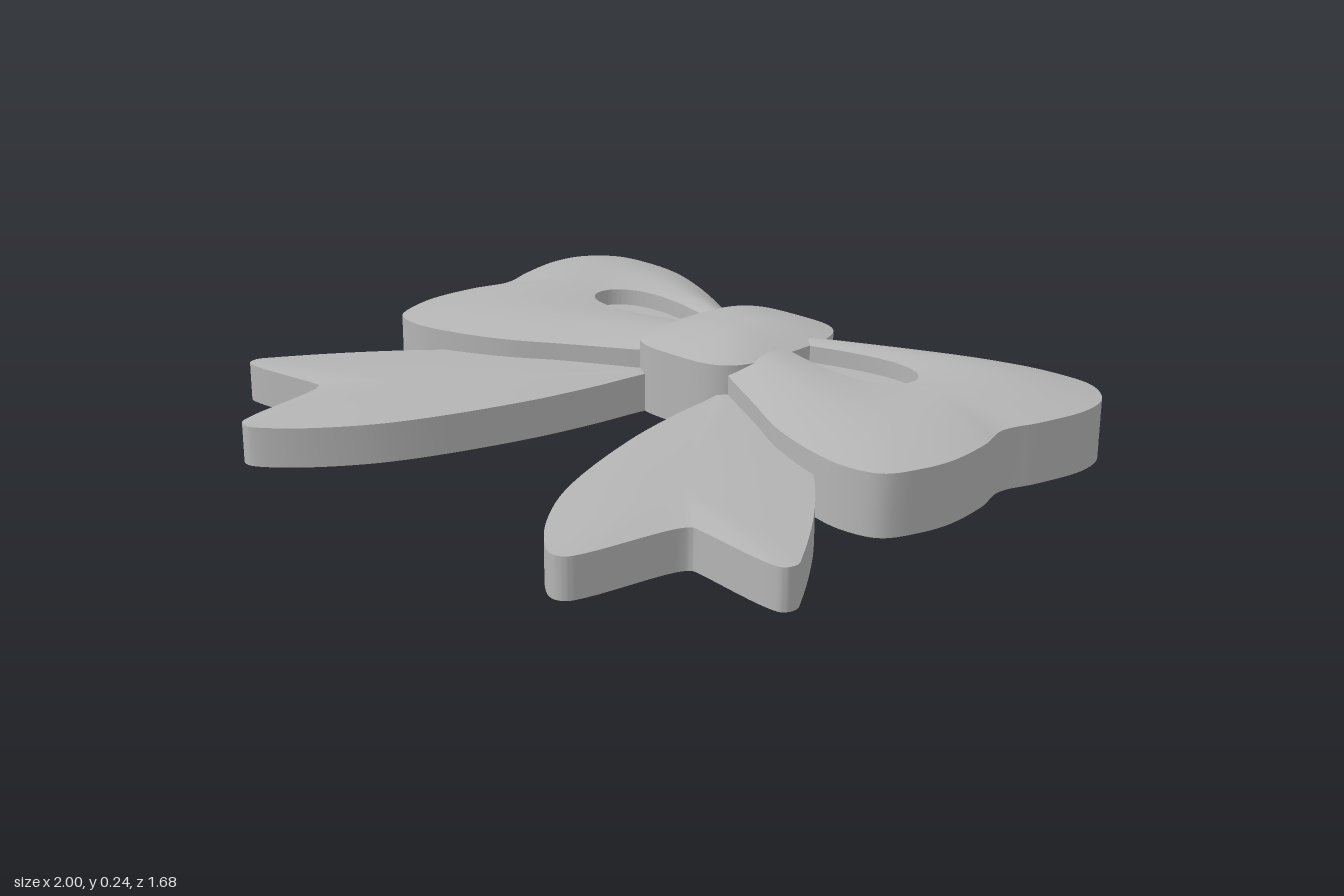
import * as THREE from 'three';
import { mergeGeometries, toCreasedNormals } from 'three/addons/utils/BufferGeometryUtils.js';

// Smooth closed outline through [x, z] pairs
const outline = (pts, n) => new THREE.CatmullRomCurve3(
  pts.map(([x, z]) => new THREE.Vector3(x, 0, z)), true, 'centripetal').getPoints(n).slice(0, n);

const atHeight = (ring, y) => ring.map(p => new THREE.Vector3(p.x, y, p.z));

const circle = (x, z, r, n = 28) => Array.from({ length: n }, (_, i) => {
  const a = (i / n) * Math.PI * 2;
  return new THREE.Vector3(x + r * Math.cos(a), 0, z + r * Math.sin(a));
});

// Skin through closed rings with equal point counts
function loft(rings) {
  const n = rings[0].length, pos = [], index = [];
  rings.forEach(r => r.forEach(p => pos.push(p.x, p.y, p.z)));
  for (let k = 0; k < rings.length - 1; k++) {
    for (let i = 0; i < n; i++) {
      const j = (i + 1) % n, a = k * n, b = a + n;
      index.push(a + i, b + i, a + j, b + i, b + j, a + j);
    }
  }
  const g = new THREE.BufferGeometry();
  g.setAttribute('position', new THREE.Float32BufferAttribute(pos, 3));
  g.setIndex(index);
  return g;
}

// Flat underside, with an optional round opening
function underside(ring, hole) {
  const to2 = r => r.map(p => new THREE.Vector2(p.x, p.z));
  const shape = new THREE.Shape(to2(ring));
  if (hole) shape.holes.push(new THREE.Path(to2(hole)));
  const g = new THREE.ShapeGeometry(shape).rotateX(Math.PI / 2);
  g.deleteAttribute('uv');
  g.deleteAttribute('normal');
  return g;
}

// Straight wall plus a domed top running from the outer ring to the inner ring
function domedSlab(outer, inner, height, steps = 14) {
  const top = [];
  for (let k = 0; k <= steps; k++) {
    const t = (k / steps) ** 1.3;
    top.push(outer.map((p, i) => new THREE.Vector3().lerpVectors(p, inner[i], t).setY(height(t))));
  }
  return [loft([atHeight(outer, 0), atHeight(outer, height(0))]), loft(top)];
}

function finish(parts, mirrored) {
  const g = mergeGeometries(parts);
  if (mirrored) {
    g.scale(-1, 1, 1);
    const ix = g.index.array;
    for (let i = 0; i < ix.length; i += 3) [ix[i], ix[i + 1]] = [ix[i + 1], ix[i]];
  }
  return toCreasedNormals(g, 0.6);
}

const collapse = (ring, x, z) => ring.map(() => new THREE.Vector3(x, 0, z));
const ease = t => Math.sin(Math.min(1, t) * Math.PI / 2);

// Puffed loop with a teardrop recess on top and a round socket below
function loopParts() {
  const outer = outline([
    [0.1, -0.55], [0.195, -0.605], [0.45, -0.75], [0.62, -0.82], [0.76, -0.84], [0.885, -0.825],
    [0.965, -0.75], [0.985, -0.65], [0.955, -0.5], [0.917, -0.38], [0.943, -0.27], [0.952, -0.13],
    [0.935, -0.04], [0.885, 0.06], [0.79, 0.085], [0.68, 0.067], [0.51, 0.005], [0.35, -0.09],
    [0.15, -0.21], [0.1, -0.25], [0.08, -0.4]], 140);
  const tear = outer.map(p => {
    const a = Math.atan2(p.z + 0.44, p.x - 0.35), c = Math.cos(a);
    return new THREE.Vector3(0.35 + 0.23 * c, 0, -0.455 + (0.078 + 0.042 * c) * Math.sin(a));
  });
  const height = t => 0.165 + 0.037 * ease(t * 1.5) - 0.01 * Math.max(0, (t - 0.6) / 0.4) ** 2;
  const floor = 0.145;
  const socket = circle(0.73, -0.55, 0.05);
  return [
    ...domedSlab(outer, tear, height),
    loft([atHeight(tear, height(1)), atHeight(tear, floor)]),
    loft([atHeight(tear, floor), atHeight(collapse(tear, 0.35, -0.455), floor)]),
    underside(outer, socket),
    loft([atHeight(socket, 0.08), socket]),
    loft([atHeight(collapse(socket, 0.73, -0.55), 0.08), atHeight(socket, 0.08)])];
}

// Ribbon tail with a notched end
function tailParts() {
  const outer = outline([
    [0.3, -0.27], [0.5, -0.1], [0.68, 0.065], [0.83, 0.24], [0.97, 0.445], [0.998, 0.5],
    [0.985, 0.53], [0.94, 0.536], [0.72, 0.51], [0.695, 0.51], [0.675, 0.54], [0.625, 0.78],
    [0.605, 0.825], [0.57, 0.835], [0.485, 0.775], [0.375, 0.64], [0.3, 0.5], [0.2, 0.21],
    [0.155, 0], [0.13, -0.18], [0.1, -0.3]], 130);
  return [
    ...domedSlab(outer, collapse(outer, 0.5, 0.34), t => 0.108 + 0.013 * ease(t * 1.3)),
    underside(outer)];
}

// Rounded-square centre knot
function knotParts() {
  const pow = v => Math.sign(v) * Math.abs(v) ** 0.56;
  const outer = circle(0, 0, 1, 80).map(p =>
    new THREE.Vector3(-0.012 + 0.21 * pow(p.x), 0, -0.427 + 0.256 * pow(p.z)));
  return [
    ...domedSlab(outer, collapse(outer, -0.012, -0.427), t => 0.193 + 0.043 * ease(t * 1.1)),
    underside(outer)];
}

export function createModel() {
  const grey = new THREE.MeshStandardMaterial({ color: 0xb4b4b4 });
  grey.name = 'plainGrey';
  const bow = new THREE.Group();
  bow.name = 'bow';
  const add = (name, parts, mirrored = false) => {
    const mesh = new THREE.Mesh(finish(parts, mirrored), grey);
    mesh.name = name;
    bow.add(mesh);
  };
  for (const [side, mirrored] of [['left', false], ['right', true]]) {
    add(side + 'Loop', loopParts(), mirrored);
    add(side + 'Tail', tailParts(), mirrored);
  }
  add('knot', knotParts());
  return bow;
}
